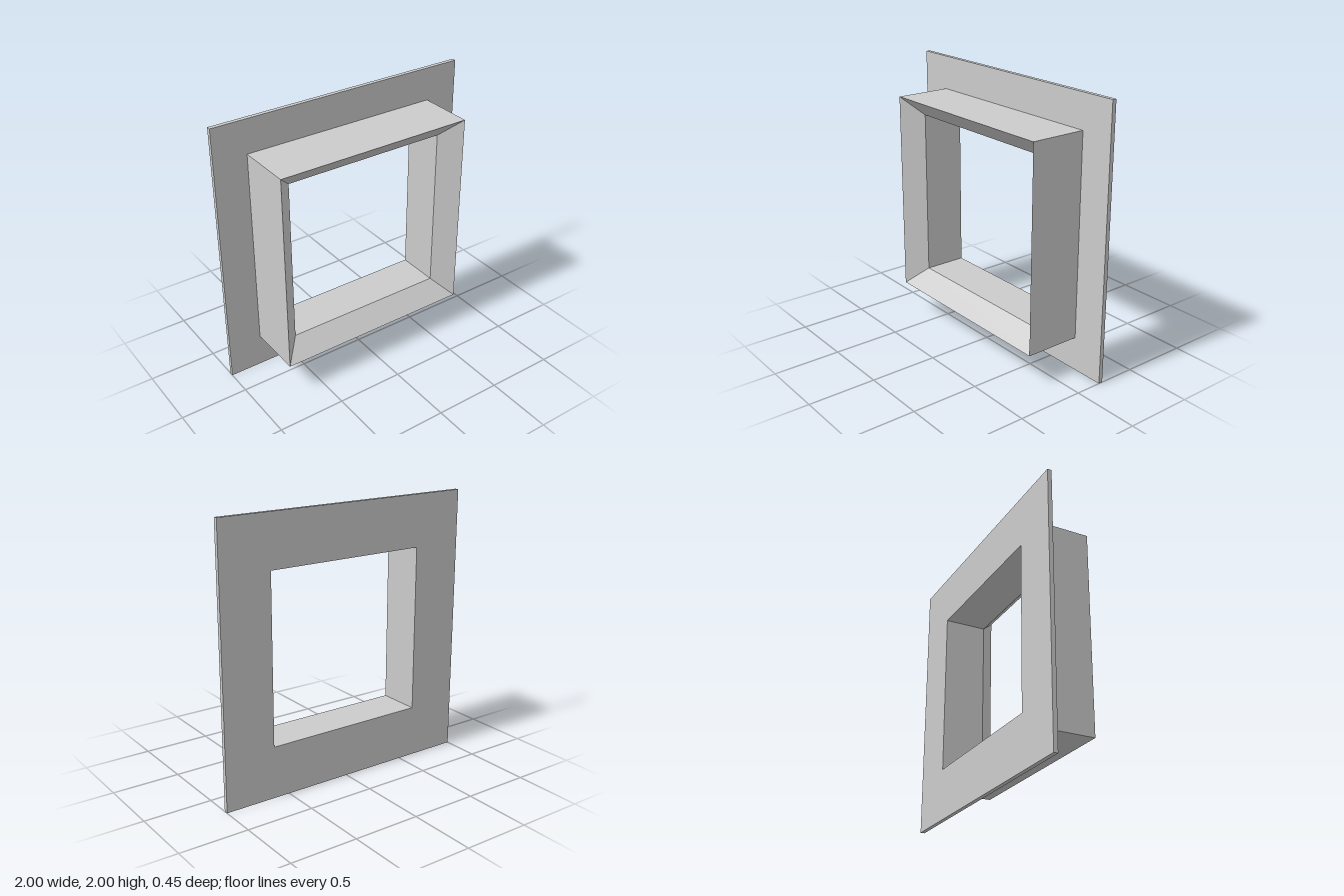
import * as THREE from 'three';

// Square ring: a [half-width, z] profile swept around four mitred sides, facing +z
function squareRing(name, profile, material) {
  const points = profile.map(([half, z]) => new THREE.Vector2(half * Math.SQRT2, z));
  const geometry = new THREE.LatheGeometry(points, 4, Math.PI / 4).toNonIndexed();
  geometry.rotateX(Math.PI / 2);
  geometry.computeVertexNormals();
  const mesh = new THREE.Mesh(geometry, material);
  mesh.name = name;
  mesh.position.y = 1;
  return mesh;
}

export function createModel() {
  const group = new THREE.Group();
  group.name = 'squareFrame';
  const material = new THREE.MeshStandardMaterial({ color: 0xcccccc, flatShading: true });

  const opening = 0.617, collar = 0.75;
  const back = -0.226, plateFront = -0.195, front = 0.226;
  const bevelBack = front - (collar - opening);

  // Thin mounting plate at the back
  group.add(squareRing('mountingPlate', [
    [opening, back], [1, back], [1, plateFront], [opening, plateFront], [opening, back],
  ], material));

  // Deep collar whose front slopes inward to the opening
  group.add(squareRing('bevelledCollar', [
    [collar, plateFront], [collar, front], [opening, bevelBack], [opening, plateFront],
  ], material));

  return group;
}
